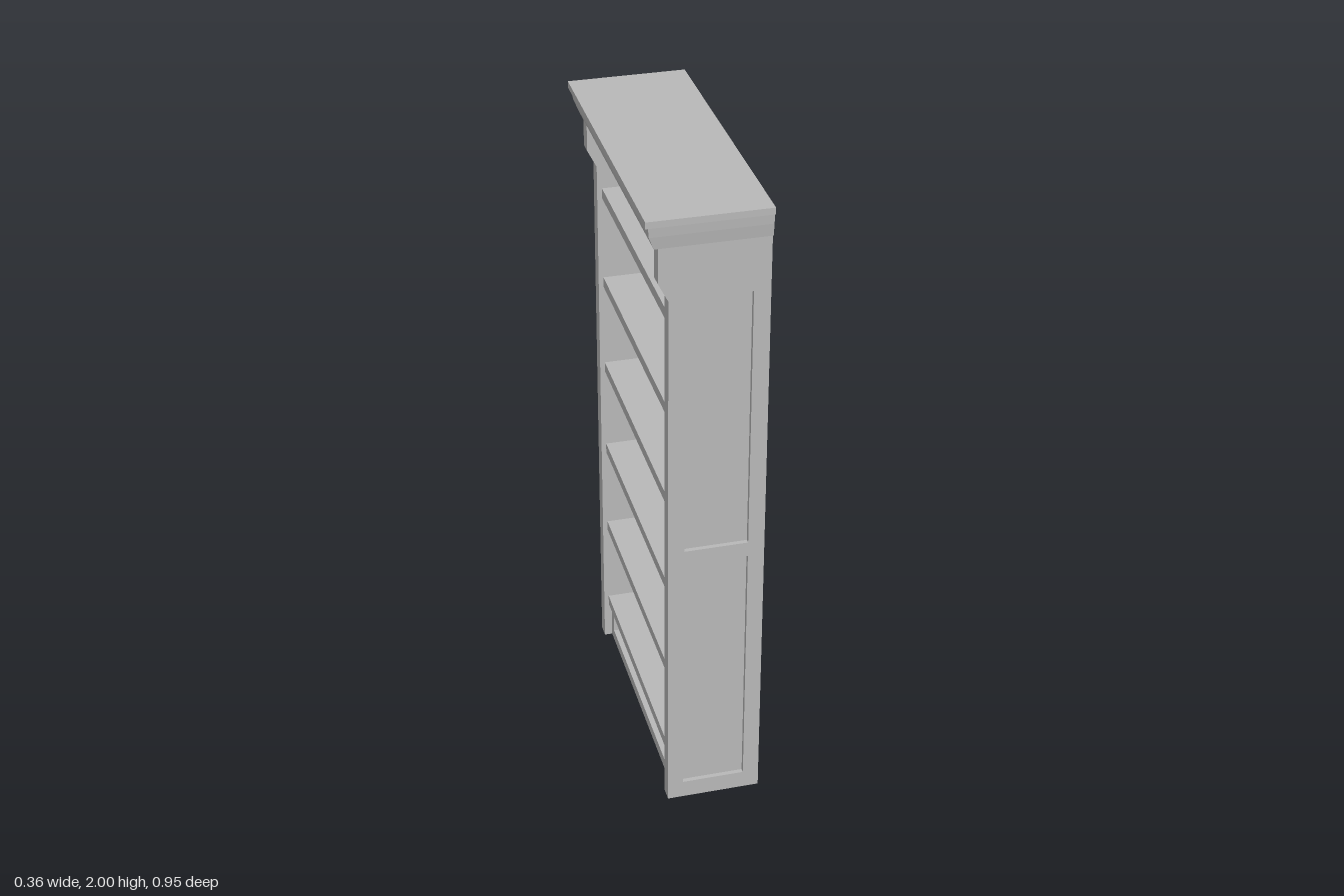
import * as THREE from 'three';

export function createModel() {
  const group = new THREE.Group();
  group.name = 'bookcase';
  const paint = new THREE.MeshStandardMaterial({ color: 0xb8b8b8 });
  paint.name = 'grey paint';

  const BACK = 0.178, INNER = 0.41, FRAME = 0.014, CORE = 0.03;

  const add = (name, geometry) => {
    const mesh = new THREE.Mesh(geometry, paint);
    mesh.name = name;
    group.add(mesh);
    return mesh;
  };
  // box given by its limits
  const box = (name, x0, x1, y0, y1, z0, z1) => {
    const g = new THREE.BoxGeometry(x1 - x0, y1 - y0, z1 - z0);
    g.translate((x0 + x1) / 2, (y0 + y1) / 2, (z0 + z1) / 2);
    return add(name, g);
  };
  // moulding course: flush at the back, tapering on the front and both ends
  const course = (name, y0, y1, frontLow, frontHigh, endLow, endHigh) => {
    const g = new THREE.BoxGeometry(1, 1, 1);
    const p = g.attributes.position;
    for (let i = 0; i < p.count; i++) {
      const high = p.getY(i) > 0;
      p.setXYZ(i,
        p.getX(i) > 0 ? BACK : (high ? frontHigh : frontLow),
        high ? y1 : y0,
        Math.sign(p.getZ(i)) * (high ? endHigh : endLow));
    }
    const flat = g.toNonIndexed();
    flat.computeVertexNormals();
    return add(name, flat);
  };
  const rectHole = (x0, x1, y0, y1) => new THREE.Path([
    new THREE.Vector2(x0, y0), new THREE.Vector2(x0, y1),
    new THREE.Vector2(x1, y1), new THREE.Vector2(x1, y0),
  ]);
  const sideShape = () => new THREE.Shape([
    [-0.11, 0], [BACK, 0], [BACK, 1.91], [-0.138, 1.91], [-0.138, 1.8], [-0.11, 1.745],
  ].map(([x, y]) => new THREE.Vector2(x, y)));

  // side walls: solid core with a frame around two sunken panels
  const framed = sideShape();
  framed.holes.push(rectHole(-0.062, 0.129, 0.057, 0.873), rectHole(-0.062, 0.129, 0.92, 1.745));
  for (const s of [1, -1]) {
    const core = new THREE.ExtrudeGeometry(sideShape(), { depth: CORE, bevelEnabled: false });
    core.translate(0, 0, s > 0 ? INNER : -INNER - CORE);
    add('sideWall', core);
    const frame = new THREE.ExtrudeGeometry(framed, { depth: FRAME, bevelEnabled: false });
    frame.translate(0, 0, s > 0 ? INNER + CORE : -INNER - CORE - FRAME);
    add('sideFrame', frame);
  }

  // back panel, slightly sunk between the walls
  box('backPanel', 0.145, 0.164, 0.004, 1.91, -INNER, INNER);

  // shelves
  for (let i = 0; i < 6; i++) {
    const top = 0.16 + i * 0.3025;
    box('shelf', -0.095, 0.145, top - 0.033, top, -INNER, INNER);
  }

  // base: floor board and a framed kick board with a sunken panel
  box('floorBoard', -0.085, BACK, 0, 0.006, -INNER, INNER);
  box('kickPanel', -0.068, -0.055, 0.006, 0.127, -INNER, INNER);
  box('kickBottomRail', -0.085, -0.068, 0.006, 0.035, -INNER, INNER);
  box('kickTopRail', -0.085, -0.068, 0.1, 0.127, -INNER, INNER);
  for (const s of [1, -1]) {
    box('kickStile', -0.085, -0.068, 0.035, 0.1, s * 0.395 - 0.015, s * 0.395 + 0.015);
  }

  // crown
  course('crownLower', 1.91, 1.948, -0.151, -0.166, 0.461, 0.466);
  course('crownUpper', 1.948, 1.98, -0.166, -0.169, 0.466, 0.468);
  course('topBoard', 1.98, 2, -0.178, -0.178, 0.476, 0.476);

  return group;
}
